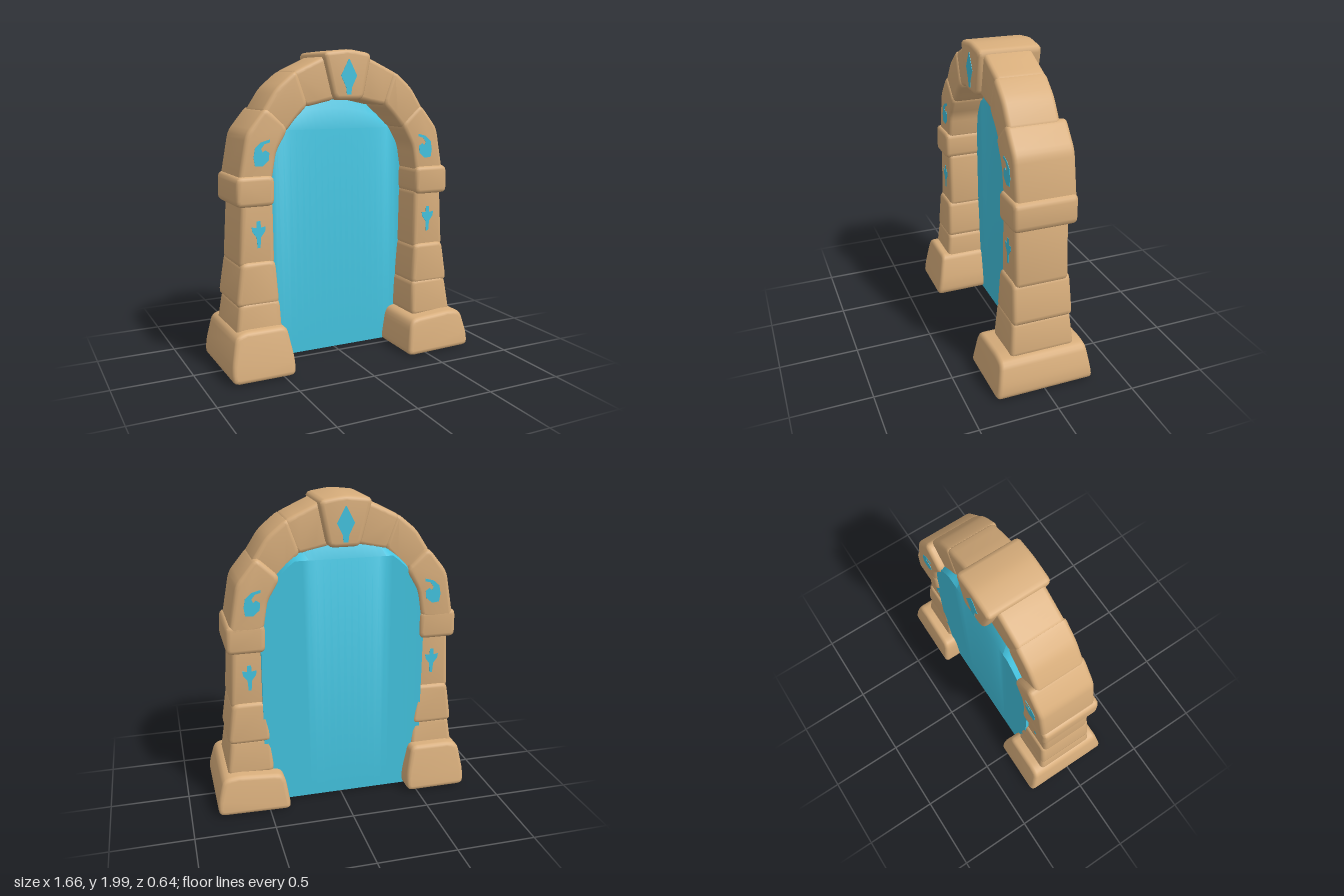
import * as THREE from 'three';
import { toCreasedNormals } from 'three/addons/utils/BufferGeometryUtils.js';

const BEVEL = 0.026;
const CENTRE = -0.015; // the opening sits slightly off centre

// Closed outline with softly rounded corners
function roundedShape(pts, radius) {
  const v = pts.map(([x, y]) => new THREE.Vector2(x, y));
  const shape = new THREE.Shape();
  v.forEach((p, i) => {
    const a = v[(i + v.length - 1) % v.length], b = v[(i + 1) % v.length];
    const near = (q) => p.clone().lerp(q, Math.min(0.4, radius / p.distanceTo(q)));
    const s = near(a), e = near(b);
    if (i === 0) shape.moveTo(s.x, s.y);
    else shape.lineTo(s.x, s.y);
    shape.quadraticCurveTo(p.x, p.y, e.x, e.y);
  });
  shape.closePath();
  return shape;
}

// Worn stone block: outline in x/y, depth in z, narrowing in depth towards the top
function stoneGeometry(pts, zBack, zFront, taper = 0) {
  const geo = new THREE.ExtrudeGeometry(roundedShape(pts, 0.04), {
    depth: zFront - zBack - 2 * BEVEL, bevelThickness: BEVEL, bevelSize: BEVEL,
    bevelOffset: -BEVEL, bevelSegments: 3, curveSegments: 3,
  });
  geo.translate(0, 0, zBack + BEVEL);
  geo.computeBoundingBox();
  const { min, max } = geo.boundingBox, pos = geo.attributes.position;
  const mid = (zBack + zFront) / 2;
  for (let i = 0; i < pos.count; i++) {
    const t = (pos.getY(i) - min.y) / (max.y - min.y);
    pos.setZ(i, mid + (pos.getZ(i) - mid) * (1 - taper * t));
  }
  return toCreasedNormals(geo, 0.7);
}

// Glowing slab filling the arch, its upper edge rounding over to front and back
function portalGeometry() {
  const cols = 24, ring = 6, x0 = -0.54, x1 = 0.51, pos = [], idx = [];
  for (let i = 0; i <= cols; i++) {
    const x = x0 + ((x1 - x0) * i) / cols;
    const h = 1.75 - 0.3 * Math.pow(Math.abs(x - CENTRE) / 0.5, 2.5);
    const front = Math.min(1.5, h - 0.06), back = Math.min(1.62, h - 0.04);
    const profile = [
      [0.02, -0.055], [front, -0.045], [(front + h) / 2, -0.075],
      [h, -0.13], [back, -0.205], [0.02, -0.195],
    ];
    for (const [y, z] of profile) pos.push(x, y, z);
  }
  for (let i = 0; i < cols; i++) {
    for (let j = 0; j < ring; j++) {
      const a = i * ring + j, b = i * ring + ((j + 1) % ring), c = a + ring, d = b + ring;
      idx.push(a, c, b, b, c, d);
    }
  }
  const end = cols * ring;
  for (let j = 1; j < ring - 1; j++) idx.push(0, j, j + 1, end, end + j + 1, end + j);
  const geo = new THREE.BufferGeometry();
  geo.setAttribute('position', new THREE.Float32BufferAttribute(pos, 3));
  geo.setIndex(idx);
  return toCreasedNormals(geo, 0.8);
}

// Pillar stones: bottom, top, inner x (bottom, top), outer x (bottom, top), back z, front z, taper
const PILLAR = {
  Foot: [0.24, 0.485, 0.465, 0.475, 0.77, 0.735, -0.215, 0.205, 0.1],
  LowerBlock: [0.455, 0.73, 0.475, 0.495, 0.755, 0.715, -0.205, 0.185, 0.05],
  Shaft: [0.69, 1.1, 0.495, 0.5, 0.725, 0.7, -0.18, 0.16, 0],
  Band: [1.065, 1.25, 0.497, 0.495, 0.74, 0.735, -0.22, 0.18, 0],
};

// Arch stations from the band to the keystone: inner x, y, outer x, y
const ARCH = [
  [0.5, 1.23, 0.715, 1.23], [0.475, 1.385, 0.665, 1.5], [0.405, 1.505, 0.555, 1.635],
  [0.34, 1.585, 0.47, 1.765], [0.27, 1.65, 0.355, 1.86], [0.18, 1.67, 0.26, 1.905], [0.085, 1.69, 0.14, 1.96],
];

// Each arch stone spans three stations, with its back z and front z
const ARCH_STONES = { LowerArchStone: [-0.22, 0.16], MiddleArchStone: [-0.175, 0.15], UpperArchStone: [-0.17, 0.14] };

// Outline of an arch stone, its ends pushed a little into the neighbours
function archOutline(first) {
  const [a, b, c] = ARCH.slice(first, first + 3);
  const past = (end, mid) => end.map((v, k) => v + (v - mid[k]) * 0.17);
  const stations = [past(a, b), b, past(c, b)];
  const inner = stations.map((s) => [s[0], s[1]]);
  const outer = stations.map((s) => [s[2], s[3]]);
  return [...inner, ...outer.reverse()];
}

export function createModel() {
  const model = new THREE.Group();
  model.name = 'stoneArchPortal';
  const stone = new THREE.MeshStandardMaterial({ color: 0xd7ad7b });
  stone.name = 'sandstone';
  const glow = new THREE.MeshStandardMaterial({ color: 0x42c2de });
  glow.name = 'portalBlue';

  const add = (name, geo, mat, parent = model) => {
    const mesh = new THREE.Mesh(geo, mat);
    mesh.name = name;
    parent.add(mesh);
    return mesh;
  };

  // Pillars and arch stones, mirrored
  for (const [side, s] of [['left', 1], ['right', -1]]) {
    const place = (pts) => pts.map(([x, y]) => [CENTRE + s * x, y]);
    for (const [part, [y0, y1, in0, in1, out0, out1, zb, zf, taper]] of Object.entries(PILLAR)) {
      const outline = place([[in0, y0], [out0, y0], [out1, y1], [in1, y1]]);
      add(side + part, stoneGeometry(outline, zb, zf, taper), stone);
    }
    Object.entries(ARCH_STONES).forEach(([part, [zb, zf]], i) => {
      add(side + part, stoneGeometry(place(archOutline(i * 2)), zb, zf), stone);
    });
  }

  // Broad bases, the left one lower and wider
  const leftBase = [[0.36, 0.01], [0.39, 0.21], [0.42, 0.25], [0.7, 0.27], [0.79, 0.255], [0.83, 0.1], [0.83, 0.02]];
  const rightBase = [[-0.835, 0.02], [-0.835, 0.12], [-0.8, 0.3], [-0.74, 0.325], [-0.47, 0.325], [-0.43, 0.12], [-0.43, 0.02]];
  add('leftBase', stoneGeometry(leftBase, -0.32, 0.325, 0.13), stone);
  add('rightBase', stoneGeometry(rightBase, -0.325, 0.3, 0.17), stone);

  // Keystone and portal
  const keystone = [[-0.11, 1.69], [0.09, 1.69], [0.15, 1.975], [-0.01, 2], [-0.185, 1.98]];
  add('keystone', stoneGeometry(keystone, -0.23, 0.175), stone);
  add('portal', portalGeometry(), glow);

  // Inlaid runes, repeated on the front and back faces
  const symmetric = (half) => [...half, ...half.slice().reverse().map(([x, y]) => [-x, y])];
  const diamond = symmetric([[0.003, 0.1], [0.055, 0], [0.02, -0.07], [0.015, -0.115]]);
  const dagger = symmetric([[0.012, 0.085], [0.014, 0.045], [0.045, 0.05], [0.04, 0.02], [0.014, -0.015], [0.009, -0.08]]);
  const swirl = [[0.055, 0.085], [0, 0.07], [-0.04, 0.035], [-0.05, -0.02], [-0.042, -0.07], [0.005, -0.075],
    [0.045, -0.04], [0.05, 0.005], [0.025, 0.022], [0.008, 0.008], [-0.002, 0.03], [0.02, 0.058], [0.055, 0.068]];
  const addRune = (name, pts, x, y, flip, zBack, zFront) => {
    const shape = new THREE.Shape(pts.map(([px, py]) => new THREE.Vector2(px * flip, py)));
    const geo = new THREE.ExtrudeGeometry(shape, { depth: 0.006, bevelEnabled: false });
    const pair = new THREE.Group();
    pair.name = name;
    add(name + 'Front', geo, glow, pair).position.set(x, y, zFront - 0.004);
    add(name + 'Back', geo, glow, pair).position.set(x, y, zBack - 0.002);
    model.add(pair);
  };
  addRune('diamondRune', diamond, CENTRE, 1.838, 1, -0.23, 0.175);
  for (const [side, s] of [['left', 1], ['right', -1]]) {
    addRune(side + 'SwirlRune', swirl, CENTRE + s * 0.573, 1.38, -s, -0.22, 0.16);
    addRune(side + 'DaggerRune', dagger, CENTRE + s * 0.599, 0.893, 1, -0.18, 0.16);
  }
  return model;
}
